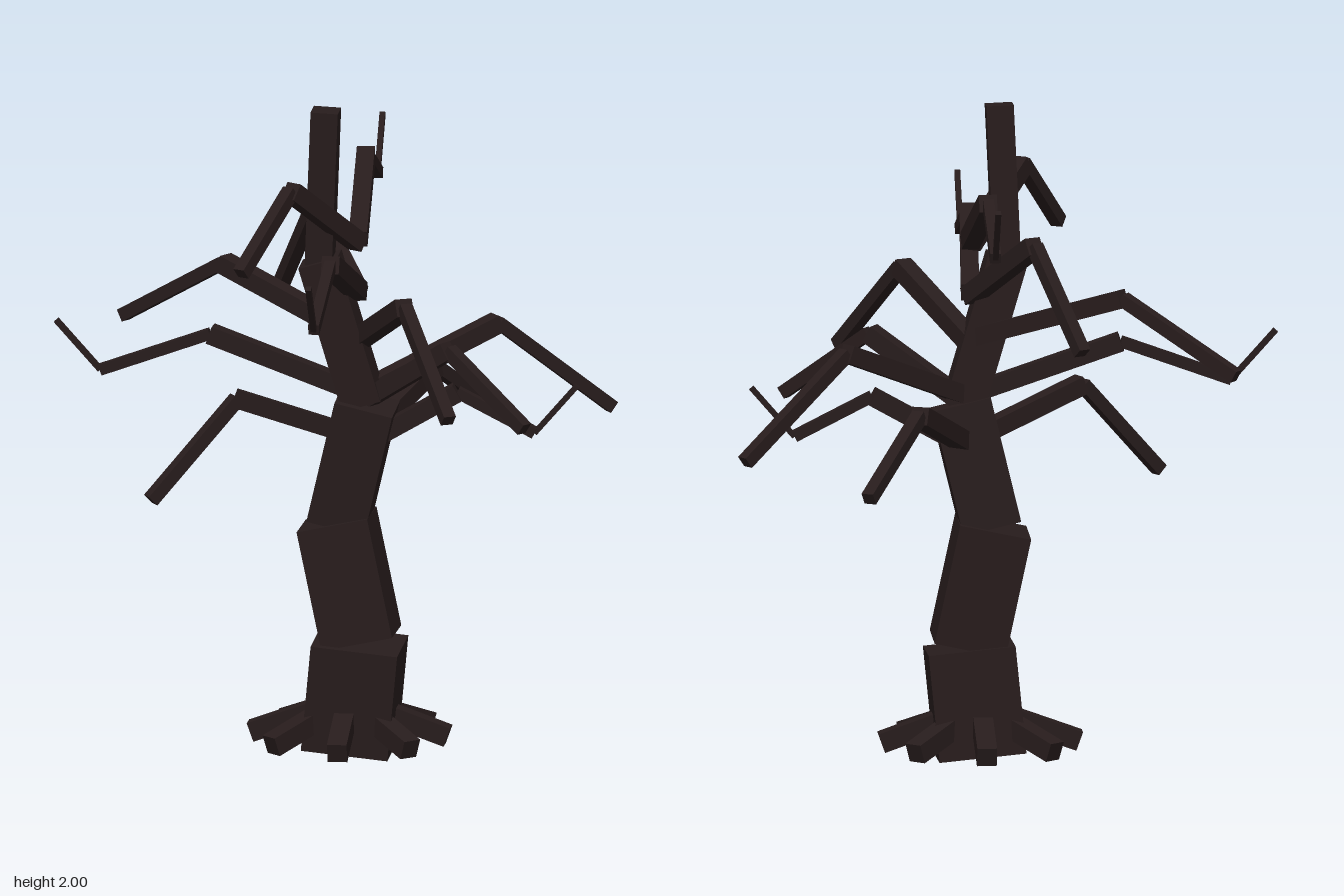
import * as THREE from 'three';

export function createModel() {
  const tree = new THREE.Group();
  tree.name = 'bareTree';
  const bark = new THREE.MeshStandardMaterial({ color: 0x271c1c });
  bark.name = 'dark bark';

  // Square beam from a to b; two of its faces stay vertical
  function beam(name, a, b, width, parent) {
    const dir = b.clone().sub(a);
    const length = dir.length();
    dir.normalize();
    const side = new THREE.Vector3(dir.z, 0, -dir.x).normalize();
    const normal = new THREE.Vector3().crossVectors(side, dir);
    const mesh = new THREE.Mesh(new THREE.BoxGeometry(width, length, width), bark);
    mesh.quaternion.setFromRotationMatrix(new THREE.Matrix4().makeBasis(side, dir, normal));
    mesh.position.copy(a).add(b).multiplyScalar(0.5);
    mesh.name = name;
    parent.add(mesh);
    return mesh;
  }
  const v = (p) => new THREE.Vector3(...p);

  // Trunk: crooked stack of tapering blocks [bottom, top, width]
  const trunk = new THREE.Group();
  trunk.name = 'trunk';
  tree.add(trunk);
  [
    [[0.066, 0.02, -0.101], [0.098, 0.346, -0.085], 0.265],
    [[0.103, 0.354, -0.09], [0.026, 0.717, -0.1], 0.22],
    [[0.034, 0.714, -0.1], [0.124, 1.09, -0.065], 0.18],
    [[0.113, 1.09, -0.065], [-0.018, 1.532, -0.048], 0.122],
    [[-0.018, 1.52, -0.048], [0.003, 1.998, -0.026], 0.083],
  ].forEach(([a, b, w], i) => {
    const block = beam('trunkBlock' + (i + 1), v(a), v(b), w, trunk);
    // lean each block without twisting it
    block.quaternion.setFromUnitVectors(new THREE.Vector3(0, 1, 0), v(b).sub(v(a)).normalize());
  });

  // Roots: eight stubs sloping down around the base
  const roots = new THREE.Group();
  roots.name = 'roots';
  tree.add(roots);
  for (let i = 0; i < 8; i++) {
    const t = (i * Math.PI) / 4;
    const at = (r, y) => new THREE.Vector3(0.066 + r * Math.cos(t), y, -0.1 + r * Math.sin(t));
    beam('root', at(0.08, 0.136), at(0.3, 0.057), 0.06, roots);
  }

  // Branches: start height, elbow, tip and, on some, an upturned twig
  const branches = [
    [1.59, [0.068, 1.77, -0.48], [0.066, 1.65, -0.77], [0.066, 1.81, -0.89]],
    [0.96, [0.276, 1.12, -0.476], [0.45, 0.915, -0.76]],
    [1.11, [0.488, 1.29, -0.335], [0.81, 0.995, -0.54]],
    [0.95, [0.394, 1.12, -0.106], [0.63, 1.0, -0.106], [0.76, 1.15, -0.106]],
    [1.08, [0.39, 1.285, 0.07], [0.64, 1.08, 0.22]],
    [1.28, [0.28, 1.455, 0.264], [0.45, 1.17, 0.55]],
    [1.43, [0.068, 1.605, 0.377], [0.066, 1.485, 0.76], [0.066, 1.64, 0.887]],
    [1.58, [-0.08, 1.785, 0.165], [-0.205, 1.57, 0.373]],
    [0.98, [-0.255, 1.12, 0.075], [-0.5, 0.83, 0.22]],
    [1.12, [-0.36, 1.28, -0.108], [-0.695, 1.16, -0.108], [-0.83, 1.31, -0.108]],
    [1.29, [-0.35, 1.45, -0.344], [-0.68, 1.24, -0.535]],
    [1.42, [-0.08, 1.62, -0.377], [-0.21, 1.325, -0.585]],
  ];
  branches.forEach(([y, elbow, tip, twig]) => {
    const branch = new THREE.Group();
    branch.name = 'branch';
    tree.add(branch);
    beam('bough', new THREE.Vector3(0.095, y, -0.078), v(elbow), 0.055, branch);
    beam('limb', v(elbow), v(tip), twig ? 0.033 : 0.039, branch);
    if (twig) beam('twig', v(tip), v(twig), 0.017, branch);
  });

  return tree;
}
